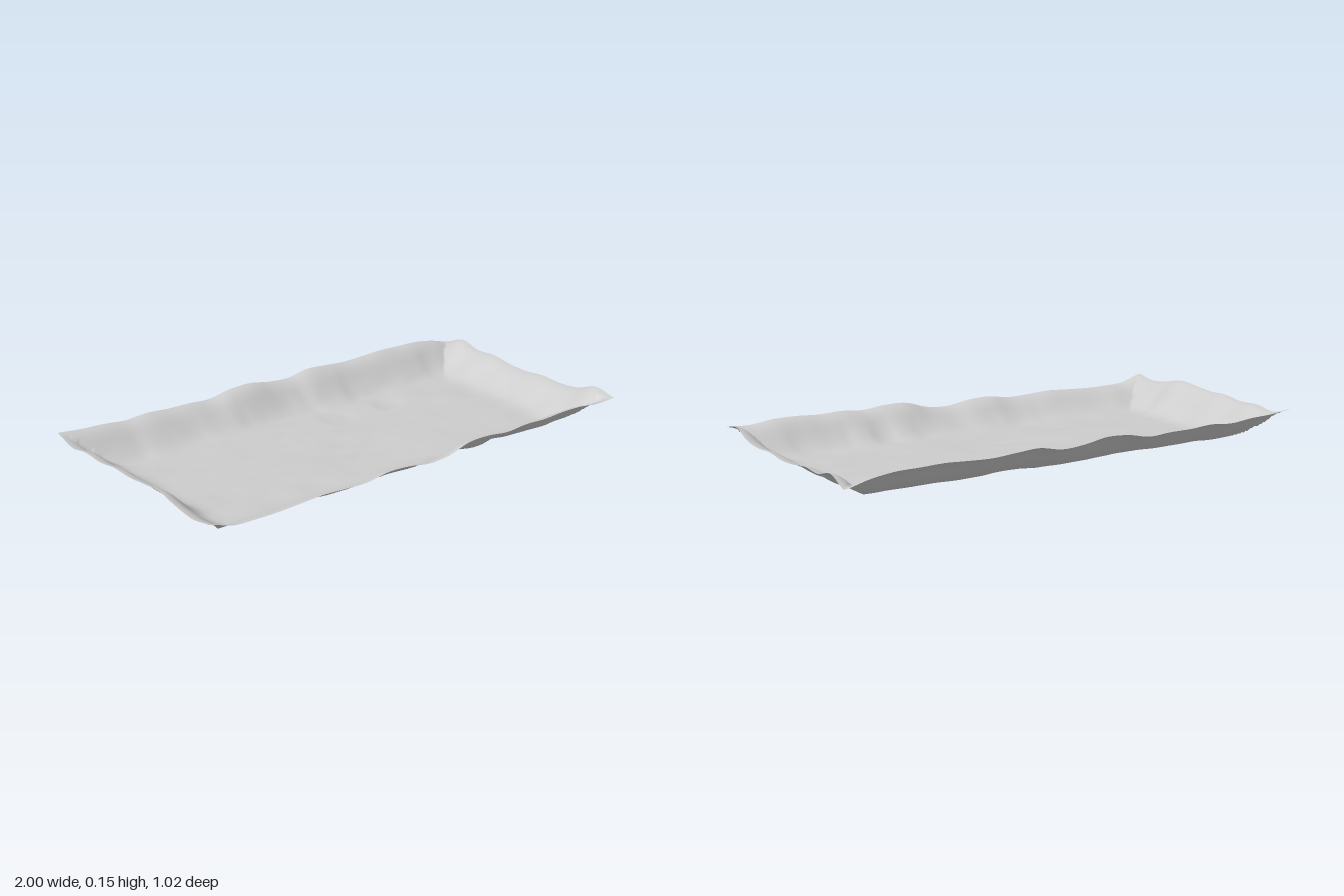
import * as THREE from 'three';

const HALF_X = 1, HALF_Z = 0.51;

// Rim heights along each edge, evenly spaced (x from -1 to 1, z from -0.51 to 0.51)
const rims = {
  front: [0.14, 0.11, 0.105, 0.105, 0.11, 0.115, 0.11, 0.108, 0.122, 0.118, 0.103, 0.11, 0.138, 0.14, 0.13, 0.137, 0.134, 0.139, 0.138, 0.126, 0.13],
  back: [0.157, 0.148, 0.144, 0.135, 0.142, 0.136, 0.135, 0.13, 0.148, 0.152, 0.136, 0.13, 0.147, 0.142, 0.135, 0.138, 0.143, 0.14, 0.138, 0.124, 0.1],
  right: [0.157, 0.13, 0.142, 0.137, 0.148, 0.145, 0.153, 0.158, 0.138, 0.126, 0.14],
  left: [0.1, 0.135, 0.114, 0.118, 0.105, 0.101, 0.11, 0.105, 0.115, 0.148, 0.13],
};

// Wall profile from the rim inward: a lip, a steep slope, then a soft foot
const wall = [1, 0.93, 0.77, 0.55, 0.34, 0.17, 0.06, 0.015, 0];

// Catmull-Rom lookup in an evenly spaced list, t from 0 to 1
function sample(list, t) {
  const p = THREE.MathUtils.clamp(t, 0, 1) * (list.length - 1);
  const i = Math.min(Math.floor(p), list.length - 2), f = p - i;
  const at = (k) => list[THREE.MathUtils.clamp(k, 0, list.length - 1)];
  const [a, b, c, d] = [at(i - 1), at(i), at(i + 1), at(i + 2)];
  return b + 0.5 * f * (c - a + f * (2 * a - 5 * b + 4 * c - d + f * (3 * (b - c) + d - a)));
}

// Smooth value noise, -1 to 1
function hash(i, j) {
  const s = Math.sin(i * 127.1 + j * 311.7) * 43758.5453;
  return (s - Math.floor(s)) * 2 - 1;
}
function noise(x, z) {
  const i = Math.floor(x), j = Math.floor(z);
  const u = THREE.MathUtils.smootherstep(x - i, 0, 1), v = THREE.MathUtils.smootherstep(z - j, 0, 1);
  const { lerp } = THREE.MathUtils;
  return lerp(lerp(hash(i, j), hash(i + 1, j), u), lerp(hash(i, j + 1), hash(i + 1, j + 1), u), v);
}

// Round, flat-bottomed dent, 1 at its centre
function dent(x, z, cx, cz, r) {
  const q = ((x - cx) ** 2 + (z - cz) ** 2) / (r * r);
  return Math.exp(-q * q);
}

// Hand-shaped floor: gentle waves running lengthwise and two thumb dents
function floorHeight(x, z) {
  return 0.021 - 0.006 * x - 0.008 * z
    + 0.0035 * noise(x * 3 + 7, z * 8 + 3) + 0.0018 * noise(x * 9, z * 18)
    - 0.005 * (dent(x, z, 0.15, -0.23, 0.07) + dent(x, z, 0.41, -0.23, 0.06));
}

function height(x, z) {
  const dx = HALF_X - Math.abs(x), dz = HALF_Z - Math.abs(z);
  const tx = (x / HALF_X + 1) / 2, tz = (z / HALF_Z + 1) / 2;
  const onEnd = dx < dz; // the walls meet in mitred corners
  const rim = onEnd ? sample(x > 0 ? rims.left : rims.right, tz) : sample(z > 0 ? rims.front : rims.back, tx);
  const d = Math.min(dx, dz);
  // Finger-pressed ripples, fading out towards the corners
  const ripple = noise((onEnd ? z : x) * 11 + 40, (onEnd ? x : z) * 5) * Math.min(1, Math.abs(dx - dz) * 8);
  const width = 0.225 + 0.018 * ripple;
  const base = floorHeight(x, z);
  return base + (rim - base) * sample(wall, d / width);
}

export function createModel() {
  const group = new THREE.Group();
  group.name = 'tray';
  const clay = new THREE.MeshStandardMaterial({ color: 0xcccccc, side: THREE.DoubleSide });
  clay.name = 'light grey';

  // One thin sheet pressed into a shallow rectangular dish
  const sheet = new THREE.PlaneGeometry(HALF_X * 2, HALF_Z * 2, 200, 102);
  sheet.rotateX(-Math.PI / 2);
  const pos = sheet.attributes.position;
  for (let i = 0; i < pos.count; i++) pos.setY(i, height(pos.getX(i), pos.getZ(i)));
  sheet.computeBoundingBox();
  sheet.translate(0, -sheet.boundingBox.min.y, 0);
  sheet.computeVertexNormals();

  const dish = new THREE.Mesh(sheet, clay);
  dish.name = 'dish';
  group.add(dish);
  return group;
}
